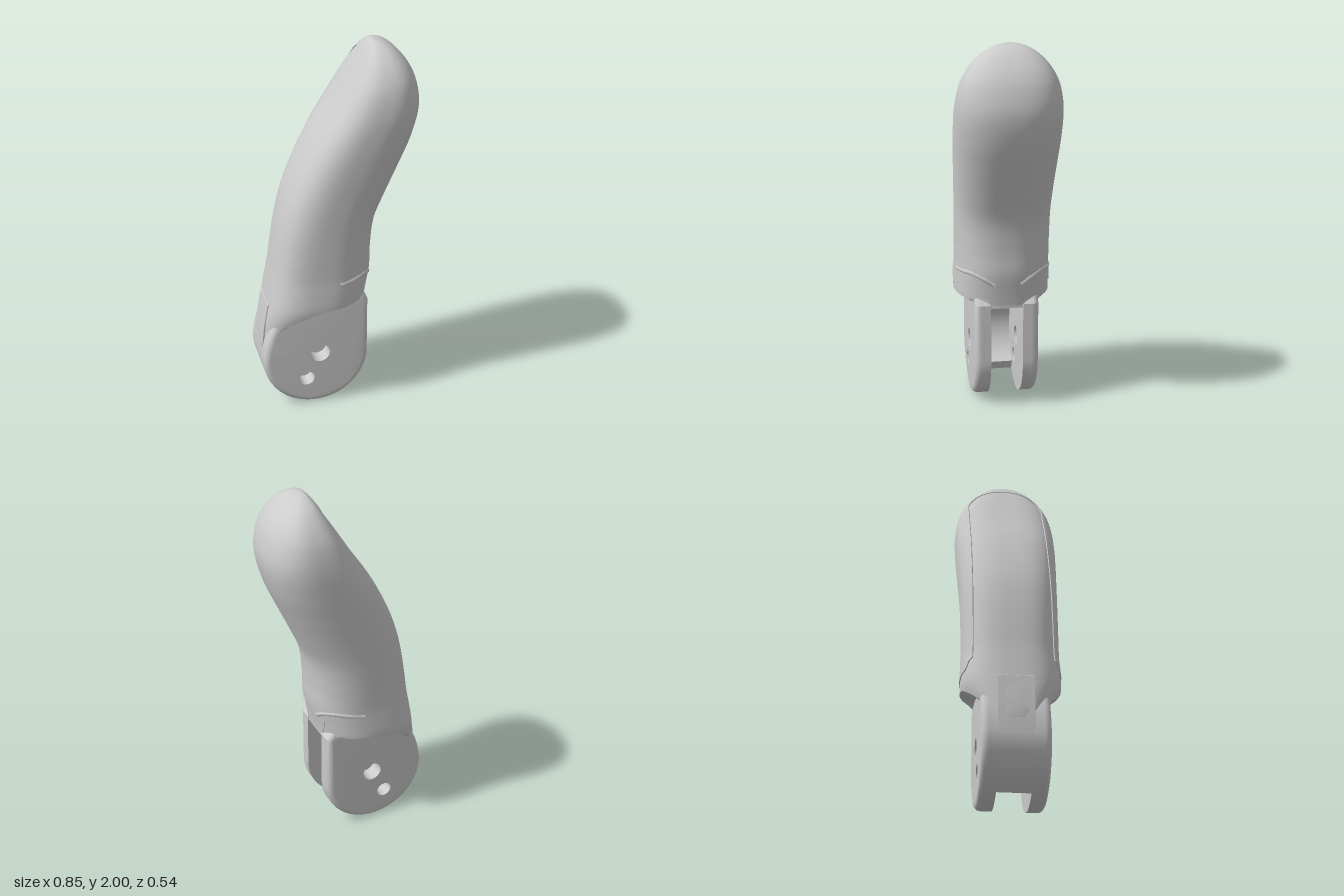
import * as THREE from 'three';
import { mergeVertices, toCreasedNormals } from 'three/addons/utils/BufferGeometryUtils.js';

const grey = new THREE.MeshStandardMaterial({ color: 0xcccccc });
const thin = new THREE.MeshStandardMaterial({ color: 0xcccccc, side: THREE.DoubleSide });

// Finger profile: height, back edge x, pad edge x, half width
const PROFILE = [
  [0.36, -0.42, 0.15, 0.165], [0.45, -0.405, 0.15, 0.195], [0.52, -0.395, 0.15, 0.225],
  [0.6, -0.378, 0.15, 0.25], [0.7, -0.36, 0.165, 0.248], [0.78, -0.345, 0.178, 0.243],
  [0.9, -0.328, 0.18, 0.243], [1.07, -0.298, 0.2, 0.245], [1.22, -0.257, 0.26, 0.25],
  [1.38, -0.19, 0.33, 0.258], [1.53, -0.11, 0.39, 0.264], [1.68, -0.012, 0.42, 0.262],
  [1.8, 0.062, 0.402, 0.24], [1.88, 0.112, 0.365, 0.2], [1.94, 0.15, 0.315, 0.147],
  [1.975, 0.175, 0.272, 0.095], [1.993, 0.19, 0.235, 0.05], [2, 0.2, 0.2, 0],
];

// Smooth lookup in the profile
function profileAt(y) {
  const P = PROFILE, last = P.length - 1;
  let i = 0;
  while (i < last - 1 && y > P[i + 1][0]) i++;
  const h = P[i + 1][0] - P[i][0];
  const t = THREE.MathUtils.clamp((y - P[i][0]) / h, 0, 1);
  const slope = (k, c) => {
    const a = P[Math.max(k - 1, 0)], b = P[Math.min(k + 1, last)];
    return (b[c] - a[c]) / (b[0] - a[0]);
  };
  return [1, 2, 3].map((c) => {
    const t2 = t * t, t3 = t2 * t;
    return (2 * t3 - 3 * t2 + 1) * P[i][c] + (t3 - 2 * t2 + t) * h * slope(i, c)
      + (3 * t2 - 2 * t3) * P[i + 1][c] + (t3 - t2) * h * slope(i + 1, c);
  });
}

// Cross-section: flatter on the back (-x), rounder on the pad (+x)
const power = (c) => (c < 0 ? 3 : 2.4);
const signedPow = (v, e) => Math.sign(v) * Math.abs(v) ** e;
function surface(u, y, offset = 0) {
  const [xl, xr, w] = profileAt(y);
  const c = Math.cos(u), s = Math.sin(u), e = 2 / power(c);
  return new THREE.Vector3(
    (xl + xr) / 2 + ((xr - xl) / 2 + offset) * signedPow(c, e), y,
    (Math.max(w, 0) + offset) * signedPow(s, e));
}

// Grid of points f(column, row), faces outward for a ring turning from +x to +z
function gridGeometry(cols, rows, f, crease) {
  const pos = [], idx = [];
  for (let j = 0; j <= rows; j++) for (let i = 0; i <= cols; i++) pos.push(...f(i, j).toArray());
  for (let j = 0; j < rows; j++) for (let i = 0; i < cols; i++) {
    const a = j * (cols + 1) + i, b = a + cols + 1;
    idx.push(a, b, a + 1, a + 1, b, b + 1);
  }
  const g = new THREE.BufferGeometry();
  g.setAttribute('position', new THREE.Float32BufferAttribute(pos, 3));
  g.setIndex(idx);
  return toCreasedNormals(mergeVertices(g, 1e-5), crease);
}

// Row heights above y0, packed towards the rounded tip
const rowsAbove = (y0, n) => Array.from({ length: n + 1 }, (_, k) => y0 + (2 - y0) * Math.sin((k / n) * Math.PI / 2));

function add(parent, name, geometry, material = grey) {
  const m = new THREE.Mesh(geometry, material);
  m.name = name;
  parent.add(m);
  return m;
}

// Main finger body, its lower edge sweeping down towards the back
function bodyGeometry() {
  const cols = 72, low = 6, tops = rowsAbove(0.72, 44);
  const edge = (u) => {
    const c = Math.cos(u), k = signedPow(c, 2 / power(c));
    return 0.62 - 0.22 * ((1 - k) / 2) ** 4;
  };
  return gridGeometry(cols, 2 + low + tops.length - 1, (i, j) => {
    const u = (i / cols) * Math.PI * 2;
    if (j >= 2 + low) return surface(u, tops[j - 2 - low]);
    const p = surface(u, THREE.MathUtils.lerp(edge(u), 0.72, Math.max(j - 2, 0) / low));
    if (j < 2) {
      p.y -= 0.03;
      p.z = j === 0 ? 0 : THREE.MathUtils.clamp(p.z, -0.16, 0.16);
    }
    return p;
  }, 0.7);
}

// Pad skin wrapped round the front and tip, leaving the back panel bare
function skinGeometry() {
  const cols = 64, low = 5, tops = rowsAbove(0.8, 56);
  const reach = (y) => {
    const w = profileAt(y)[2];
    const f = y < 1.8 ? 1 : Math.sqrt(Math.max(0, 1 - ((y - 1.8) / 0.15) ** 2));
    if (f === 0) return Math.PI;
    return Math.PI - Math.asin(Math.min(1, (0.2 * f) / w) ** 1.5);
  };
  const hem = (u) => {
    const z = Math.abs(surface(u, 0.7).z), x = surface(u, 0.7).x;
    if (x < 0) return 0.67 + 0.05 * THREE.MathUtils.smoothstep(-x, 0.24, 0.29);
    return THREE.MathUtils.lerp(0.6, 0.71, THREE.MathUtils.smoothstep(z, 0.085, 0.13))
      - 0.03 * THREE.MathUtils.smoothstep(z, 0.2, 0.25);
  };
  return gridGeometry(cols, low + tops.length, (i, j) => {
    const t = THREE.MathUtils.clamp((i - 1) / (cols - 2), 0, 1) * 2 - 1;
    const rim = i === 0 || i === cols || j === 0;
    const k = Math.max(j - 1, 0);
    const top = tops[Math.max(k - low, 0)];
    const u = t * reach(top);
    const y = k < low ? THREE.MathUtils.lerp(hem(u), 0.8, k / low) : top;
    return surface(u, y, rim ? -0.008 : 0.005 * Math.min(1, (2 - y) / 0.03));
  }, 0.7);
}

// Hinge cheek outline with two pin holes
const CX = -0.135, CY = 0.285, R = 0.285;
const HOLES = [[-0.115, 0.31, 0.052], [-0.19, 0.16, 0.041]];
function cheekShape() {
  const s = new THREE.Shape();
  s.moveTo(0.15, 0.6);
  s.lineTo(0.1, 0.66);
  s.lineTo(-0.3, 0.6);
  s.quadraticCurveTo(-0.41, 0.46, CX - R, CY);
  s.absarc(CX, CY, R, Math.PI, Math.PI * 2, false);
  s.closePath();
  for (const [x, y, r] of HOLES) s.holes.push(new THREE.Path().absarc(x, y, r, 0, Math.PI * 2, true));
  return s;
}

function cheekFace() {
  const b = 0.03;
  const g = new THREE.ExtrudeGeometry(cheekShape(), {
    depth: 0.02, bevelEnabled: true, bevelSize: b, bevelOffset: -b, bevelThickness: b, bevelSegments: 4, curveSegments: 28 });
  // Keep the pin holes straight instead of bevelled
  const p = g.attributes.position;
  for (let i = 0; i < p.count; i++) for (const [x, y, r] of HOLES) {
    const dx = p.getX(i) - x, dy = p.getY(i) - y, d = Math.hypot(dx, dy);
    if (d < r + b + 0.004) p.setXY(i, x + (dx / d) * r, y + (dy / d) * r);
  }
  g.deleteAttribute('uv');
  return toCreasedNormals(g, 0.6).translate(0, 0, 0.12);
}

// Back wall and ceiling of the slot
function webGeometry() {
  const s = new THREE.Shape();
  s.absarc(CX, CY, R, Math.PI * 4 / 3, Math.PI, true);
  s.lineTo(-0.405, 0.45);
  s.lineTo(-0.38, 0.6);
  s.lineTo(-0.3, 0.66);
  s.lineTo(0.145, 0.66);
  s.lineTo(0.145, 0.58);
  s.lineTo(0.05, 0.565);
  s.absarc(CX, CY, 0.22, Math.PI * 5 / 6, Math.PI * 4 / 3, false);
  s.closePath();
  const g = new THREE.ExtrudeGeometry(s, { depth: 0.18, bevelEnabled: false, curveSegments: 20 });
  return toCreasedNormals(g.translate(0, 0, -0.09), 0.5);
}

export function createModel() {
  const model = new THREE.Group();
  model.name = 'fingertip';
  add(model, 'fingerBody', bodyGeometry());
  add(model, 'padSkin', skinGeometry(), thin);
  add(model, 'slotWall', webGeometry());

  for (const side of [1, -1]) {
    const hinge = new THREE.Group();
    hinge.name = side > 0 ? 'frontHingeCheek' : 'backHingeCheek';
    add(hinge, 'cheekInner', toCreasedNormals(new THREE.ExtrudeGeometry(cheekShape(),
      { depth: 0.048, bevelEnabled: false, curveSegments: 28 }).translate(0, 0, 0.085), 0.5));
    add(hinge, 'cheekFace', cheekFace());
    // Raised wrinkle above the hinge
    const pts = [[0.22, 0.72], [0.45, 0.755], [0.75, 0.775], [1.05, 0.772], [1.4, 0.758]]
      .map(([u, y]) => surface(u, y, -0.004));
    add(hinge, 'skinFold', new THREE.TubeGeometry(new THREE.CatmullRomCurve3(pts), 24, 0.016, 8));
    // Mirror by geometry so that faces keep their outward order
    if (side < 0) hinge.scale.z = -1;
    model.add(hinge);
  }
  return model;
}
